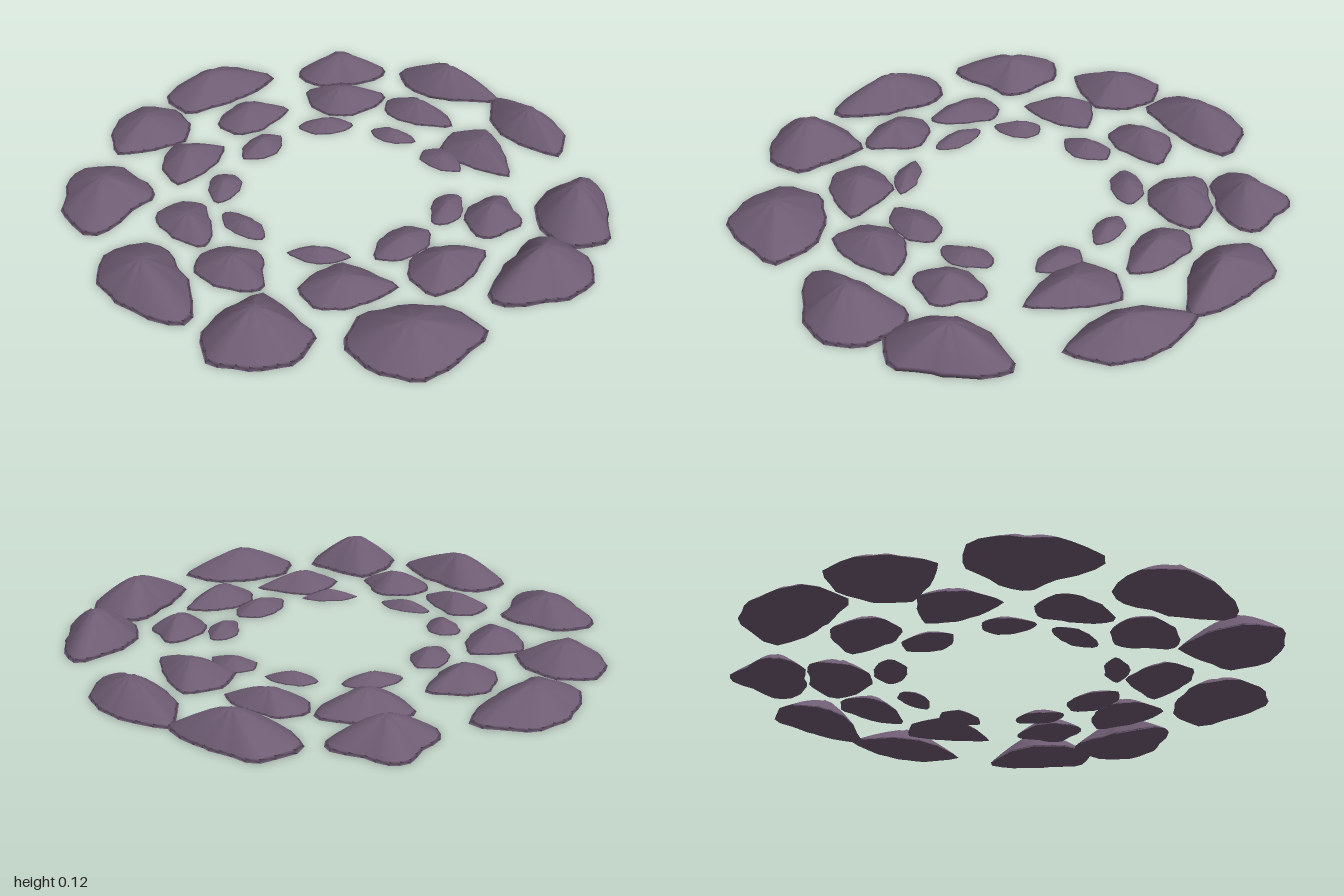
import * as THREE from 'three';

// Each mound: x, z, height, angle of its long axis in degrees,
// then eight outline radii (hundredths) at 45 degree steps from that axis.
const outerRing = [
  [-0.23, -0.835, 0.10, -20, 23, 12, 11, 15, 23, 20, 12, 13],
  [0.20, -0.845, 0.09, 17, 22, 13, 12, 15, 25, 14, 12, 15],
  [0.68, -0.56, 0.12, 65, 22, 16, 14, 15, 22, 13, 12, 21],
  [0.83, -0.205, 0.115, 90, 25, 14, 12, 20, 19, 18, 16, 16],
  [0.785, 0.36, 0.09, -60, 25, 17, 18, 18, 21, 20, 17, 20],
  [0.445, 0.71, 0.12, 0, 18, 16, 19, 17, 16, 20, 15, 19],
  [0.00, 0.83, 0.10, 5, 27, 15, 13, 17, 22, 20, 13, 16],
  [-0.505, 0.66, 0.085, 40, 25, 19, 15, 20, 19, 15, 18, 15],
  [-0.77, 0.295, 0.075, 70, 20, 15, 15, 18, 17, 16, 17, 15],
  [-0.86, -0.085, 0.085, -68, 26, 15, 14, 22, 20, 14, 15, 20],
  [-0.62, -0.575, 0.09, -50, 20, 14, 11, 16, 18, 13, 17, 14],
];
const middleRing = [
  [-0.17, -0.595, 0.06, -12, 17, 10, 9, 12, 15, 12, 8, 10],
  [0.20, -0.57, 0.06, 10, 18, 11, 11, 15, 17, 17, 10, 10],
  [-0.44, -0.42, 0.07, -58, 19, 13, 12, 12, 13, 16, 11, 14],
  [0.51, -0.31, 0.065, 60, 14, 11, 10, 10, 14, 9, 11, 10],
  [0.595, 0.02, 0.065, -80, 17, 11, 11, 16, 14, 12, 11, 12],
  [0.455, 0.35, 0.06, -50, 18, 11, 11, 14, 15, 12, 13, 12],
  [0.14, 0.565, 0.065, 0, 15, 11, 11, 14, 14, 12, 12, 10],
  [-0.165, 0.535, 0.05, 12, 15, 10, 9, 13, 14, 13, 8, 9],
  [-0.495, 0.295, 0.06, 50, 17, 12, 10, 12, 11, 15, 11, 11],
  [-0.58, -0.065, 0.065, -70, 16, 10, 11, 14, 14, 11, 12, 12],
];
const innerRing = [
  [-0.11, -0.40, 0.03, -25, 10, 6, 5, 6, 9, 7, 5, 6],
  [0.135, -0.425, 0.03, 0, 10, 7, 6, 8, 9, 8, 7, 7],
  [-0.335, -0.25, 0.035, -50, 11, 7, 6, 8, 11, 7, 6, 8],
  [0.37, -0.22, 0.035, 70, 11, 6, 6, 8, 10, 6, 6, 8],
  [0.415, 0.04, 0.04, 90, 13, 9, 8, 10, 12, 9, 7, 9],
  [0.27, 0.30, 0.035, -42, 11, 6, 5, 6, 11, 6, 4, 6],
  [-0.03, 0.395, 0.03, 0, 11, 6, 5, 7, 11, 6, 5, 7],
  [-0.265, 0.30, 0.035, 50, 11, 7, 6, 8, 8, 7, 6, 7],
  [-0.38, 0.03, 0.04, 80, 11, 8, 7, 9, 10, 7, 7, 8],
];

const SIDES = 24;
const RINGS = [0.2, 0.4, 0.6, 0.78, 0.93, 1];

// Closed smooth outline through the eight radii
function outline(radii, angle) {
  const points = radii.map((r, k) => {
    const a = THREE.MathUtils.degToRad(angle + k * 45);
    return new THREE.Vector3(Math.cos(a) * r / 100, 0, Math.sin(a) * r / 100);
  });
  return new THREE.CatmullRomCurve3(points, true).getPoints(SIDES).slice(0, SIDES);
}

// Peaked mound lofted from shrinking copies of its outline, closed underneath.
// The rim is shared with the base so the shading rolls under softly.
function moundGeometry(height, angle, radii, seed) {
  const edge = outline(radii, angle);
  const positions = [0, height, 0];
  const index = [];
  for (const t of RINGS) {
    edge.forEach((p, i) => {
      const ripple = 1 + 0.03 * Math.sin(i * 2.1 + seed * 1.7);
      const y = height * (1 - Math.pow(t, 1.4)) * (t < 1 ? ripple : 1);
      positions.push(p.x * t * ripple, y, p.z * t * ripple);
    });
  }
  const base = positions.length / 3;
  positions.push(0, 0, 0);
  const at = (ring, i) => 1 + ring * SIDES + (i % SIDES);
  const last = RINGS.length - 1;
  for (let i = 0; i < SIDES; i++) {
    index.push(0, at(0, i + 1), at(0, i));
    for (let r = 0; r < last; r++) {
      index.push(at(r, i), at(r, i + 1), at(r + 1, i));
      index.push(at(r, i + 1), at(r + 1, i + 1), at(r + 1, i));
    }
    index.push(base, at(last, i), at(last, i + 1));
  }
  const geometry = new THREE.BufferGeometry();
  geometry.setAttribute('position', new THREE.Float32BufferAttribute(positions, 3));
  geometry.setIndex(index);
  geometry.computeVertexNormals();
  return geometry;
}

export function createModel() {
  const model = new THREE.Group();
  model.name = 'moundCircle';
  const stone = new THREE.MeshStandardMaterial({ color: 0x6e5c73 });
  stone.name = 'dusky purple stone';

  // Three rings of mounds, smaller toward the middle
  const rings = { outerMounds: outerRing, middleMounds: middleRing, innerMounds: innerRing };
  for (const [name, mounds] of Object.entries(rings)) {
    const ring = new THREE.Group();
    ring.name = name;
    mounds.forEach(([x, z, height, angle, ...radii], i) => {
      const mound = new THREE.Mesh(moundGeometry(height, angle, radii, i), stone);
      mound.name = 'mound';
      mound.position.set(x, 0, z);
      ring.add(mound);
    });
    model.add(ring);
  }
  return model;
}
